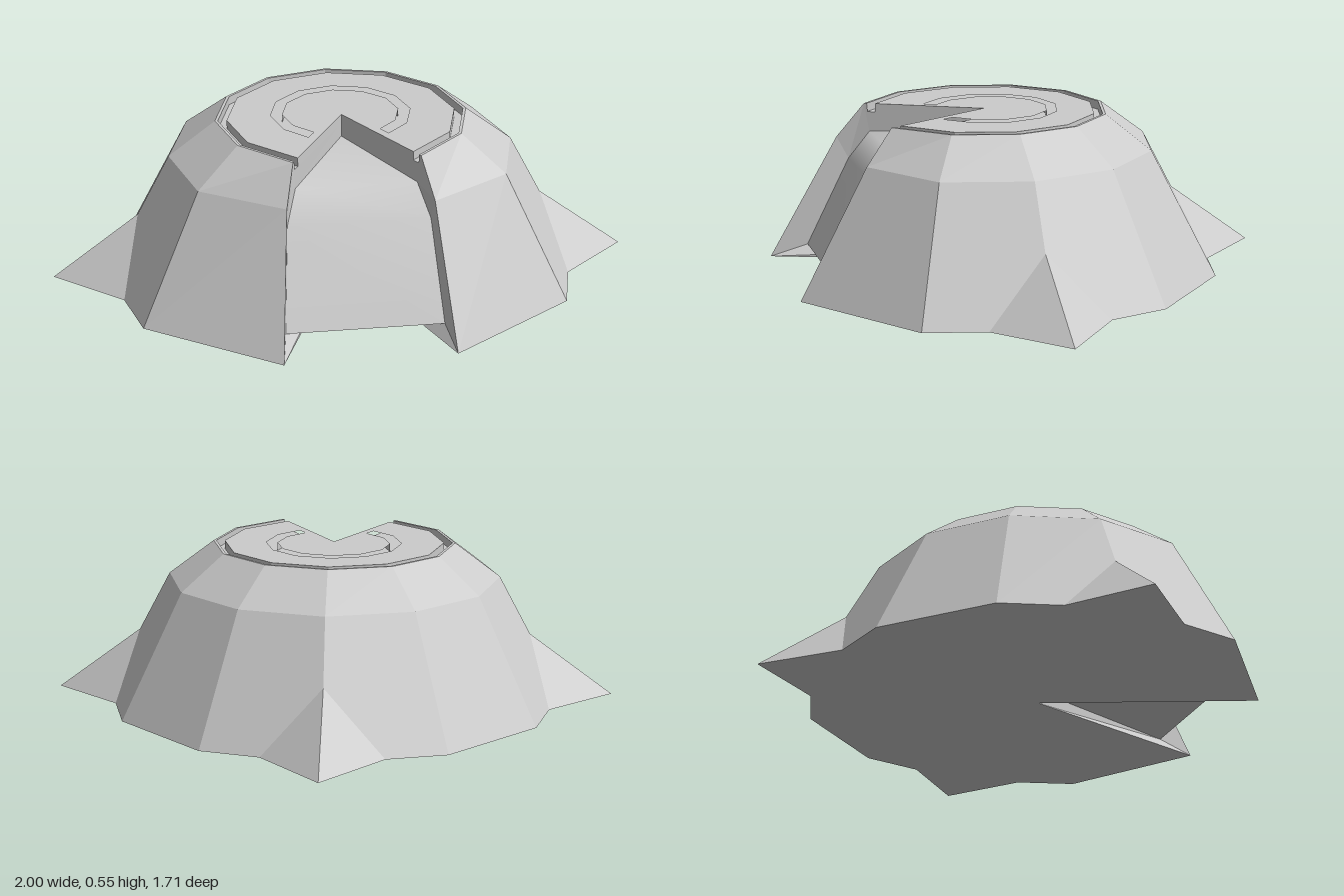
import * as THREE from 'three';

const CZ = 0.14; // z of the dome's axis
const rad = THREE.MathUtils.degToRad;
const polar = (r, deg, y, cz = CZ) => [r * Math.cos(rad(deg)), y, cz + r * Math.sin(rad(deg))];
const axis = (y) => [0, y, CZ];
const flip = ([x, y, z]) => [-x, y, z];

// Open twelve-sided ring running from the notch's left edge round the back to its right edge
function ring(r, y, end, cz = CZ) {
  const pts = [];
  for (let i = 1; i < 10; i++) pts.push(polar(r, 60 - 30 * i, y, cz));
  const first = Array.isArray(end) ? end : polar(r, end, y, cz);
  return [first, ...pts, flip(first)];
}

// Triangle lists
const strip = (low, up) => low.slice(1).flatMap((p, i) => [low[i], p, up[i + 1], low[i], up[i + 1], up[i]]);
const fanUp = (c, pts) => pts.slice(1).flatMap((p, i) => [c, pts[i], p]);
const fanDown = (c, pts) => pts.slice(1).flatMap((p, i) => [c, p, pts[i]]);

function addMesh(group, name, geometry, flat = true) {
  const mesh = new THREE.Mesh(geometry, new THREE.MeshStandardMaterial({ color: 0xcccccc, flatShading: flat }));
  mesh.name = name;
  group.add(mesh);
  return mesh;
}

function fromTriangles(tris) {
  const g = new THREE.BufferGeometry();
  g.setAttribute('position', new THREE.Float32BufferAttribute(tris.flat(), 3));
  g.computeVertexNormals();
  return g;
}

export function createModel() {
  const group = new THREE.Group();
  const top = 0.55, deck = 0.52;

  // Faceted dome with a thin rim around a sunken deck
  const base = ring(0.82, 0, [0.28, 0, 0.85]);
  const shoulder = ring(0.59, 0.43, [0.24, 0.43, 0.61]);
  const rim = ring(0.43, top, 61);
  const rimIn = ring(0.42, top, 61);
  const deckRing = ring(0.42, deck, 61);
  addMesh(group, 'dome', fromTriangles([
    ...strip(base, shoulder), ...strip(shoulder, rim), ...strip(rim, rimIn), ...strip(rimIn, deckRing),
    ...fanUp(axis(deck), deckRing), ...fanDown(axis(0), base),
  ]));

  // Side walls of the front notch
  const brow = [0.2, 0.45, 0.5], cheek = [0.235, 0.35, 0.57], foot = [0.26, 0.04, 0.72];
  const outer = [axis(deck), deckRing[0], rimIn[0], rim[0], shoulder[0], base[0], axis(0)];
  const inner = [axis(0.47), brow, brow, brow, cheek, foot, axis(0.045)];
  addMesh(group, 'notchWalls', fromTriangles([
    ...strip(inner, outer), ...strip(outer.map(flip), inner.map(flip)),
  ]));

  // Smooth recessed panel filling the notch
  const panel = new THREE.BufferGeometry();
  const rows = [brow, cheek, foot];
  panel.setAttribute('position', new THREE.Float32BufferAttribute(
    [axis(0.47), ...rows.flatMap((p) => [flip(p), p])].flat(), 3));
  panel.setIndex([0, 1, 2, 1, 3, 4, 1, 4, 2, 3, 5, 6, 3, 6, 4]);
  panel.computeVertexNormals();
  addMesh(group, 'notchPanel', panel, false);
  addMesh(group, 'notchUnderside', fromTriangles([axis(0.045), foot, flip(foot)]));

  // Raised top plate with a C-shaped groove cut through it
  const flat2 = (pts) => pts.map(([x, , z]) => new THREE.Vector2(x, z));
  const plate = new THREE.Shape(flat2([axis(0), ...ring(0.39, 0, 61)]));
  plate.holes.push(new THREE.Path(flat2([...ring(0.24, 0, 56, 0.12), ...ring(0.2, 0, 56, 0.115).reverse()])));
  const plateGeo = new THREE.ExtrudeGeometry(plate, { depth: top - deck, bevelEnabled: false });
  plateGeo.rotateX(Math.PI / 2);
  addMesh(group, 'topPlate', plateGeo).position.y = top;

  // Pointed spikes on the left, back and right
  const spikes = [['leftSpike', 0], ['backSpike', -90], ['rightSpike', 180]];
  for (const [name, a] of spikes) {
    const l = polar(0.792, a + 15, 0), r = polar(0.792, a - 15, 0);
    const tip = polar(1, a, 0), peak = polar(0.702, a, 0.22);
    addMesh(group, name, fromTriangles([l, tip, peak, tip, r, peak, l, r, tip]));
  }
  return group;
}
